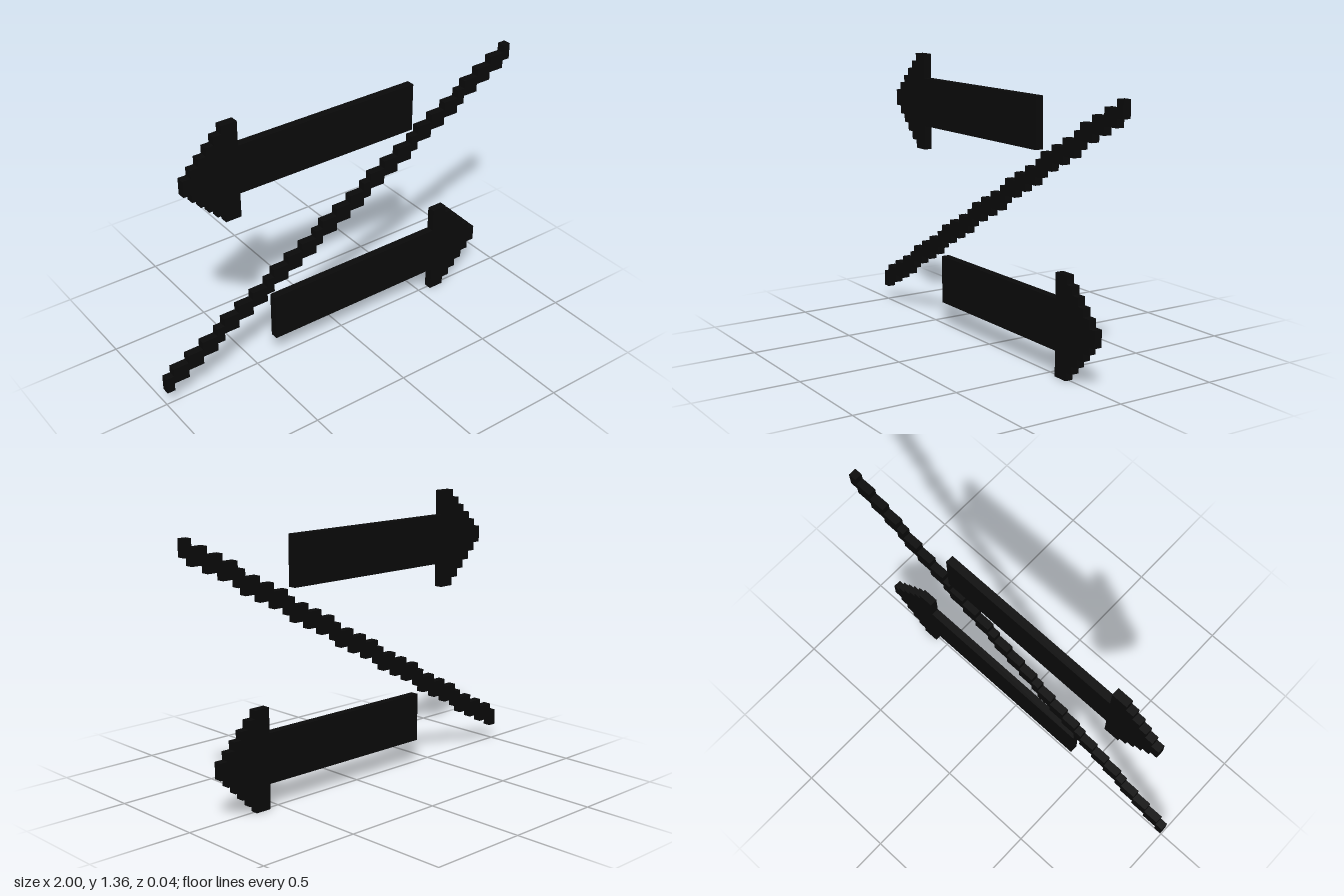
import * as THREE from 'three';

const U = 0.04; // one block

// Extrude an outline given in block units into a one-block-thick slab
function slab(points, material, name) {
  const shape = new THREE.Shape(points.map(([x, y]) => new THREE.Vector2(x * U, y * U)));
  const geometry = new THREE.ExtrudeGeometry(shape, { depth: U, bevelEnabled: false });
  geometry.translate(0, 0, -U / 2);
  const mesh = new THREE.Mesh(geometry, material);
  mesh.name = name;
  return mesh;
}

// Right-pointing arrow, centred on y = 0, with a stepped head
function arrowOutline() {
  const upper = [[-10, 3], [14, 3], [14, 6], [16, 6]];
  for (let h = 5; h >= 1; h--) {
    const x = 21 - h;
    upper.push([x, h], [x + 1, h]);
  }
  const lower = upper.map(([x, y]) => [x, -y]);
  return [...lower, ...upper.reverse()];
}

// Rising staircase two blocks tall: treads of 1, 2, 2, 2 blocks repeating
function dividerOutline() {
  const lower = [], upper = [];
  let x = -25;
  for (let i = 0; i < 29; i++) {
    const end = x + (i % 4 === 0 ? 1 : 2);
    lower.push([x, i + 2], [end, i + 2]);
    upper.push([x, i + 4], [end, i + 4]);
    x = end;
  }
  return [...lower, ...upper.reverse()];
}

export function createModel() {
  const group = new THREE.Group();
  group.name = 'arrowSign';
  const black = new THREE.MeshStandardMaterial({ color: 0x0a0a0a });
  black.name = 'black';

  // Lower arrow points to +x
  const lowerArrow = slab(arrowOutline(), black, 'lowerArrow');
  lowerArrow.position.y = 6 * U;

  // Upper arrow is the same shape turned half a turn
  const upperArrow = slab(arrowOutline(), black, 'upperArrow');
  upperArrow.rotation.z = Math.PI;
  upperArrow.position.y = 28 * U;

  // Diagonal line between the arrows
  const divider = slab(dividerOutline(), black, 'diagonalDivider');

  group.add(lowerArrow, upperArrow, divider);
  return group;
}
